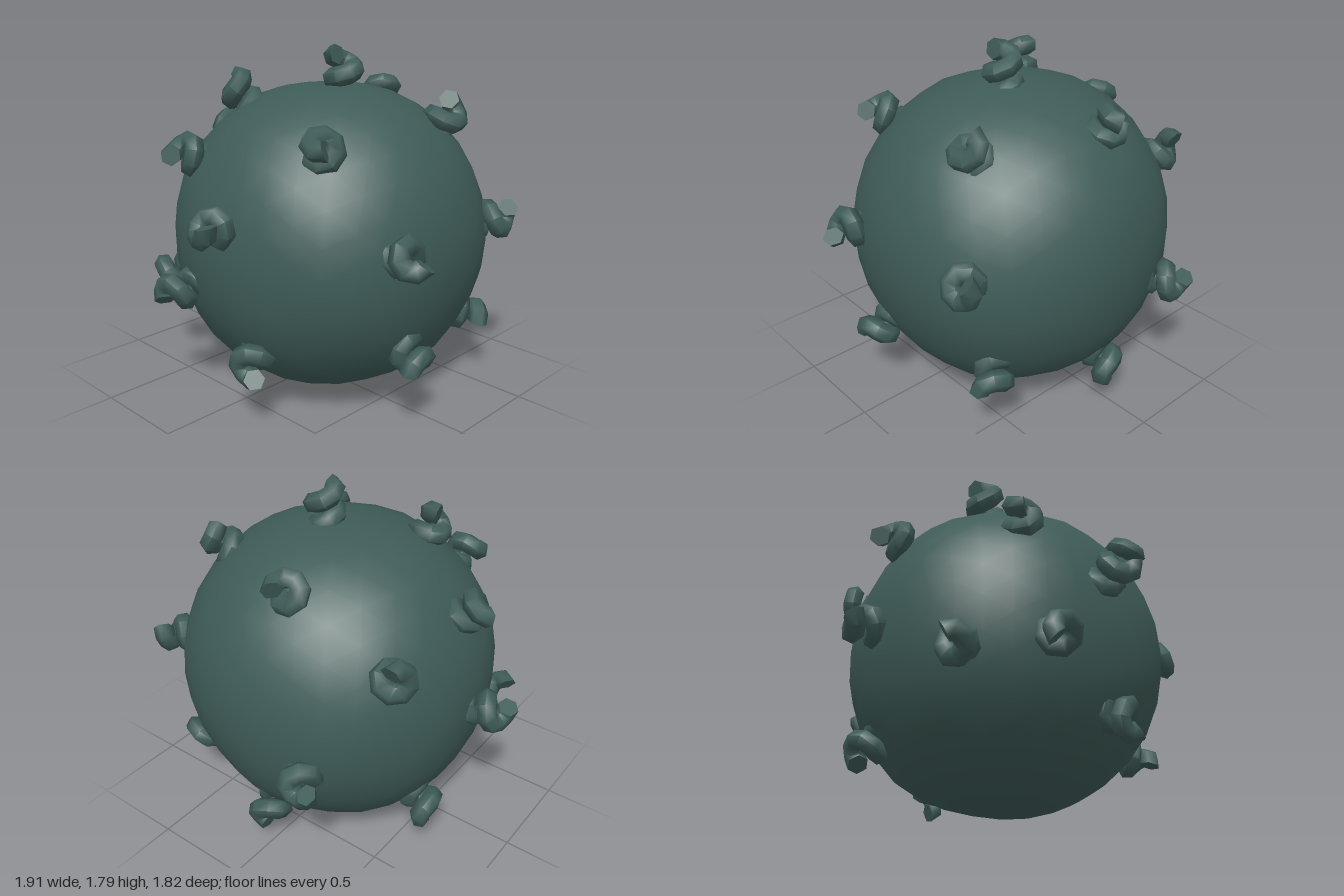
import * as THREE from 'three';
import { mergeVertices, toCreasedNormals } from 'three/addons/utils/BufferGeometryUtils.js';

const CENTER = new THREE.Vector3(0.05, 1.02, -0.06);

// Middle of the outer coil of each spike
const SPIKES = [
  [0.13, 1.92, -0.08], [-0.09, 1.72, -0.63], [0.61, 1.71, -0.38], [0.50, 1.63, 0.45],
  [-0.30, 1.77, 0.26], [-0.29, 1.49, 0.59], [0.10, 1.23, 0.79], [-0.72, 1.54, 0.04],
  [-0.84, 1.00, 0.01], [-0.59, 0.77, 0.49], [-0.22, 0.82, 0.78], [0.22, 0.56, 0.65],
  [-0.65, 0.47, -0.26], [0.80, 0.57, 0.13], [0.85, 1.14, 0.27], [0.80, 1.14, -0.56],
  [0.66, 0.52, -0.60], [0.00, 0.43, -0.74], [-0.30, 0.86, -0.83], [-0.64, 1.40, -0.55],
];

// Rounded ball, slightly fuller on the diagonals and a little uneven
function bodyGeometry() {
  let g = new THREE.IcosahedronGeometry(1, 5);
  g.deleteAttribute('normal');
  g.deleteAttribute('uv');
  g = mergeVertices(g, 1e-4);
  const p = g.attributes.position;
  const v = new THREE.Vector3();
  for (let i = 0; i < p.count; i++) {
    v.fromBufferAttribute(p, i).normalize();
    const { x, y, z } = v;
    const fuller = 0.1 * (x * x * y * y + y * y * z * z + z * z * x * x);
    const uneven = 0.008 * Math.sin(6 * x + 2 * y) * Math.sin(5 * z - 3 * y + 1);
    v.multiplyScalar(0.793 + fuller + uneven);
    p.setXYZ(i, v.x, v.y, v.z);
  }
  g.computeVertexNormals();
  return g;
}

// Thick corkscrew rising along +y, closed at both ends
class Helix extends THREE.Curve {
  getPoint(t, target = new THREE.Vector3()) {
    const a = -t * 1.75 * Math.PI * 2;
    return target.set(0.057 * Math.cos(a), 0.74 + 0.2 * t, 0.057 * Math.sin(a));
  }
}

function spikeGeometry() {
  const section = new THREE.Shape();
  for (let i = 0; i < 6; i++) {
    const a = (i / 6) * Math.PI * 2;
    const x = 0.052 * Math.cos(a), y = 0.052 * Math.sin(a);
    if (i === 0) section.moveTo(x, y);
    else section.lineTo(x, y);
  }
  section.closePath();
  const g = new THREE.ExtrudeGeometry(section, {
    steps: 13, bevelEnabled: false, extrudePath: new Helix(),
  });
  return toCreasedNormals(g, 1.15);
}

export function createModel() {
  const group = new THREE.Group();
  group.name = 'spikedBall';
  const teal = new THREE.MeshStandardMaterial({ color: 0x3f5c58 });
  teal.name = 'dark teal';

  const body = new THREE.Mesh(bodyGeometry(), teal);
  body.name = 'body';
  body.position.copy(CENTER);
  group.add(body);

  // Corkscrew spikes pointing out from the centre
  const geometry = spikeGeometry();
  const up = new THREE.Vector3(0, 1, 0);
  SPIKES.forEach((p, i) => {
    const spike = new THREE.Mesh(geometry, teal);
    spike.name = `spike${i + 1}`;
    spike.position.copy(CENTER);
    const direction = new THREE.Vector3(...p).sub(CENTER).normalize();
    spike.quaternion.setFromUnitVectors(up, direction);
    spike.rotateY(i * 2.4);
    group.add(spike);
  });
  return group;
}
